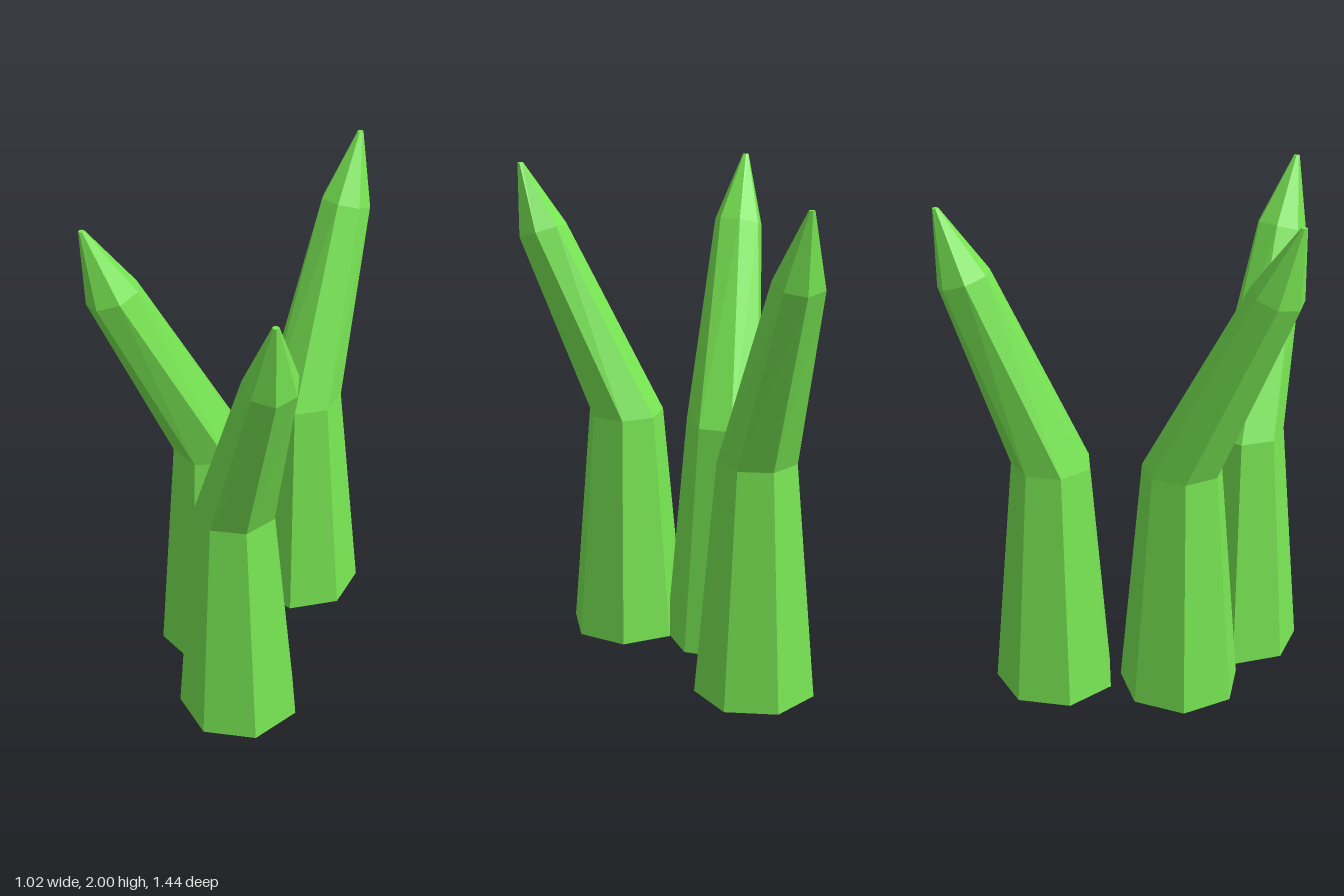
import * as THREE from 'three';

const SIDES = 7;

// Skins a stack of seven-sided rings and closes both ends
function loft(rings) {
  const pos = [];
  const index = [];
  for (const { x, y, z, r, angle, tilt = 0 } of rings) {
    for (let i = 0; i < SIDES; i++) {
      const t = (i / SIDES) * Math.PI * 2;
      const a = THREE.MathUtils.degToRad(angle) + t;
      // tilted rings dip towards their first corner
      pos.push(x + r * Math.cos(a), y - tilt * r * Math.cos(t), z + r * Math.sin(a));
    }
  }
  const last = (rings.length - 1) * SIDES;
  for (let k = 0; k < last; k += SIDES) {
    for (let i = 0; i < SIDES; i++) {
      const a = k + i;
      const b = k + ((i + 1) % SIDES);
      index.push(a, a + SIDES, b, b, a + SIDES, b + SIDES);
    }
  }
  for (let i = 1; i < SIDES - 1; i++) {
    index.push(0, i, i + 1); // underside
    index.push(last, last + i + 1, last + i); // tip
  }
  const indexed = new THREE.BufferGeometry();
  indexed.setAttribute('position', new THREE.Float32BufferAttribute(pos, 3));
  indexed.setIndex(index);
  const geometry = indexed.toNonIndexed();
  geometry.computeVertexNormals();
  return geometry;
}

export function createModel() {
  const group = new THREE.Group();
  group.name = 'grassTuft';
  const green = new THREE.MeshStandardMaterial({ color: 0x78e653, flatShading: true });
  green.name = 'grassGreen';

  // root, shoulder and tip positions as [x, z]; angle is the corner facing the lean
  const blades = [
    { name: 'backBlade', root: [-0.168, -0.313], shoulder: [-0.191, -0.619], tip: [-0.19, -0.709], angle: -90 },
    { name: 'rightBlade', root: [-0.231, 0.19], shoulder: [-0.411, 0.508], tip: [-0.47, 0.582], angle: 128 },
    { name: 'leftBlade', root: [0.111, 0.464], shoulder: [0.411, 0.618], tip: [0.478, 0.677], angle: 36 },
  ];

  for (const { name, root, shoulder, tip, angle } of blades) {
    const ring = ([x, z], y, r, twist = 0, tilt = 0) => ({ x, y, z, r, angle: angle + twist, tilt });
    const blade = new THREE.Mesh(
      loft([
        ring(root, 0, 0.245),
        ring(root, 0.97, 0.159),
        ring(shoulder, 1.73, 0.1, 7, 0.32),
        ring(tip, 2, 0.012, 7),
      ]),
      green
    );
    blade.name = name;
    group.add(blade);
  }
  return group;
}
